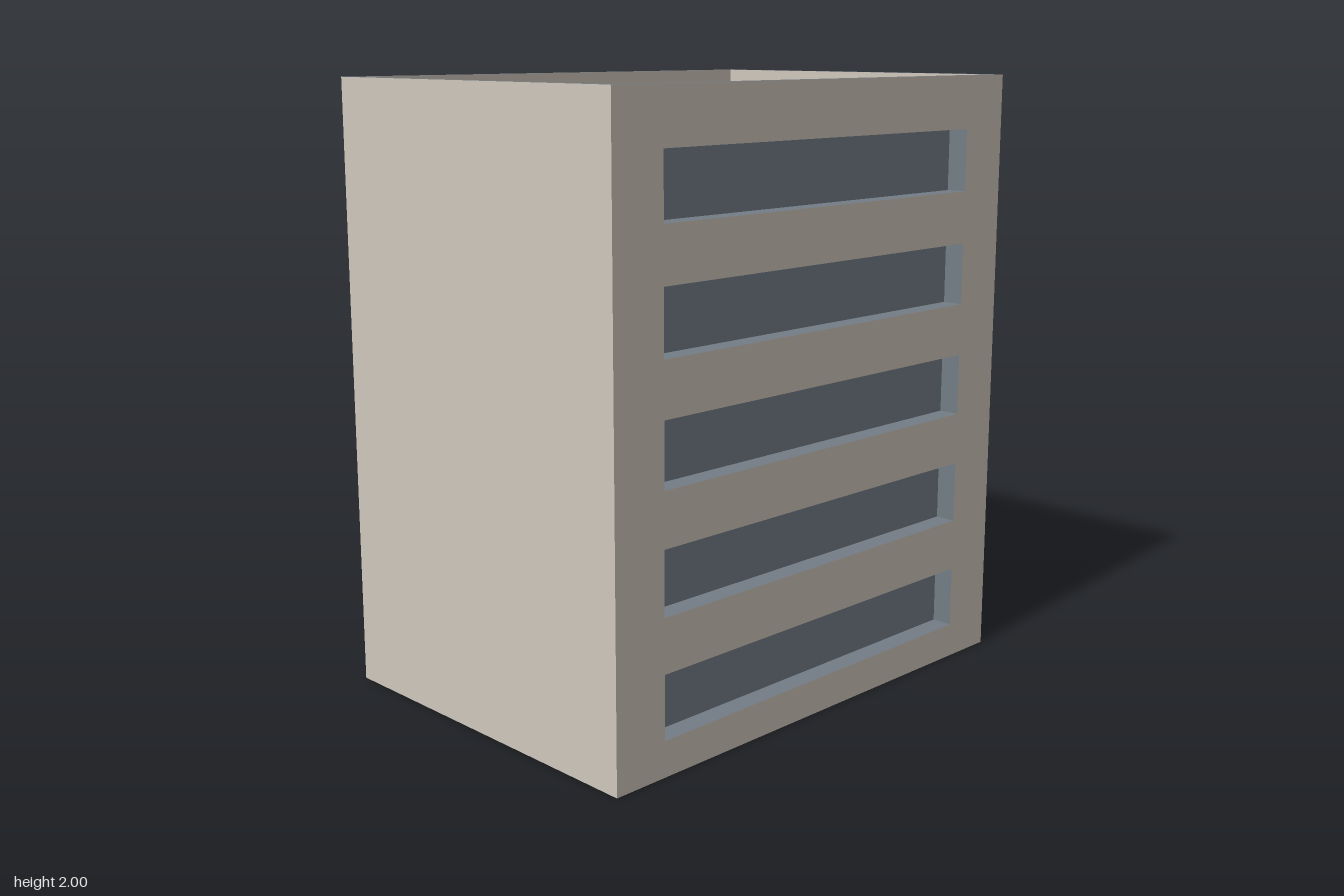
import * as THREE from 'three';

const W = 1.76, D = 1.26, H = 2; // outer size
const RIM = 0.035, ROOF_Y = 1.88; // parapet thickness, roof level
const WIN_W = 1.38, WIN_H = 0.204, WIN_DEPTH = 0.07;
const WIN_Y0 = 0.217, WIN_STEP = 0.377, FLOORS = 5;

const wallMat = new THREE.MeshStandardMaterial({ color: 0xd0c8bc, side: THREE.DoubleSide });
const slateMat = new THREE.MeshStandardMaterial({ color: 0x747e86, side: THREE.DoubleSide });

function rectangle(Type, w, h, cx = 0, cy = 0) {
  const r = new Type();
  r.moveTo(cx - w / 2, cy - h / 2);
  r.lineTo(cx + w / 2, cy - h / 2);
  r.lineTo(cx + w / 2, cy + h / 2);
  r.lineTo(cx - w / 2, cy + h / 2);
  r.closePath();
  return r;
}

function addMesh(parent, name, geometry, material, pos = [0, 0, 0], rot = [0, 0, 0]) {
  const mesh = new THREE.Mesh(geometry, material);
  mesh.name = name;
  mesh.position.set(...pos);
  mesh.rotation.set(...rot);
  parent.add(mesh);
}

function panel(parent, name, w, h, material, pos, rot) {
  addMesh(parent, name, new THREE.PlaneGeometry(w, h), material, pos, rot);
}

// Window recess: open towards the front, its opening at z = 0
function createWindow() {
  const g = new THREE.Group();
  g.name = 'window';
  const z = -WIN_DEPTH / 2, q = Math.PI / 2;
  panel(g, 'windowPane', WIN_W, WIN_H, slateMat, [0, 0, -WIN_DEPTH]);
  panel(g, 'windowSill', WIN_W, WIN_DEPTH, slateMat, [0, -WIN_H / 2, z], [-q, 0, 0]);
  panel(g, 'windowHead', WIN_W, WIN_DEPTH, slateMat, [0, WIN_H / 2, z], [q, 0, 0]);
  for (const s of [-1, 1])
    panel(g, 'windowJamb', WIN_DEPTH, WIN_H, slateMat, [s * WIN_W / 2, 0, z], [0, -s * q, 0]);
  return g;
}

export function createModel() {
  const building = new THREE.Group();
  building.name = 'building';
  const q = Math.PI / 2;

  // Front wall with one long opening per floor, and the recesses behind them
  const front = rectangle(THREE.Shape, W, H, 0, H / 2);
  for (let i = 0; i < FLOORS; i++) {
    const y = WIN_Y0 + i * WIN_STEP;
    front.holes.push(rectangle(THREE.Path, WIN_W, WIN_H, 0, y));
    const win = createWindow();
    win.position.set(0, y, D / 2);
    building.add(win);
  }
  addMesh(building, 'frontWall', new THREE.ShapeGeometry(front), wallMat, [0, 0, D / 2]);

  // Plain back and side walls; the underside stays open
  panel(building, 'backWall', W, H, wallMat, [0, H / 2, -D / 2], [0, Math.PI, 0]);
  for (const s of [-1, 1])
    panel(building, 'sideWall', D, H, wallMat, [s * W / 2, H / 2, 0], [0, s * q, 0]);

  // Parapet: top rim and inner faces around the sunken roof
  const iw = W - 2 * RIM, id = D - 2 * RIM;
  const ph = H - ROOF_Y, py = (H + ROOF_Y) / 2;
  const rim = rectangle(THREE.Shape, W, D);
  rim.holes.push(rectangle(THREE.Path, iw, id));
  addMesh(building, 'parapetRim', new THREE.ShapeGeometry(rim), slateMat, [0, H, 0], [-q, 0, 0]);
  for (const s of [-1, 1]) {
    panel(building, 'parapetInnerSide', id, ph, wallMat, [s * iw / 2, py, 0], [0, -s * q, 0]);
    panel(building, 'parapetInnerEnd', iw, ph, wallMat, [0, py, s * id / 2], [0, s > 0 ? Math.PI : 0, 0]);
  }
  panel(building, 'roof', iw, id, slateMat, [0, ROOF_Y, 0], [-q, 0, 0]);

  return building;
}
